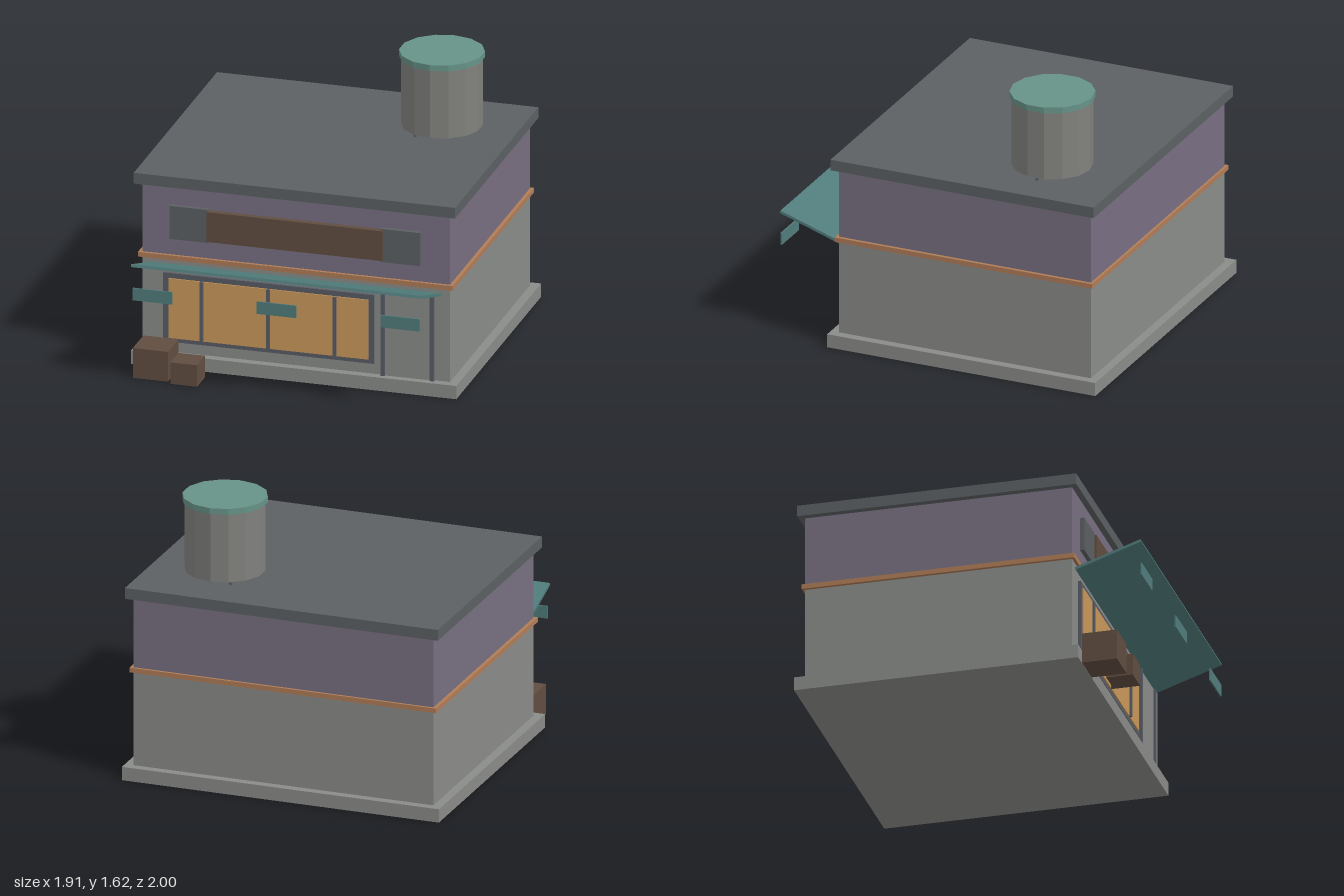
import * as THREE from 'three';

const mat = (name, color, flatShading = false) => {
  const m = new THREE.MeshStandardMaterial({ color, flatShading });
  m.name = name;
  return m;
};

export function createModel() {
  const concrete = mat('concrete', 0x8a8c89);
  const plaster = mat('purplePlaster', 0x786f81);
  const slate = mat('slate', 0x5c6063);
  const frame = mat('frameGrey', 0x595c65);
  const glow = mat('amberGlass', 0xc9995a);
  const wood = mat('brownWood', 0x604d40);
  const copper = mat('copperTrim', 0xb07c57);
  const teal = mat('awningTeal', 0x507c7b);
  const lidGreen = mat('lidGreen', 0x669287, true);
  const steel = mat('tankSteel', 0x80807d, true);

  const model = new THREE.Group();
  model.name = 'shop';

  const add = (name, geometry, material, x, y, z, parent = model) => {
    const mesh = new THREE.Mesh(geometry, material);
    mesh.name = name;
    mesh.position.set(x, y, z);
    parent.add(mesh);
    return mesh;
  };
  // Box given by its extents on each axis
  const box = (name, material, [x0, x1], [y0, y1], [z0, z1], parent) =>
    add(name, new THREE.BoxGeometry(x1 - x0, y1 - y0, z1 - z0), material,
      (x0 + x1) / 2, (y0 + y1) / 2, (z0 + z1) / 2, parent);
  const group = (name) => {
    const g = new THREE.Group();
    g.name = name;
    model.add(g);
    return g;
  };

  // Building shell, stacked from the ground up
  box('plinth', concrete, [-0.957, 0.957], [0, 0.08], [-1, 0.66]);
  box('lowerWalls', concrete, [-0.905, 0.905], [0.08, 0.65], [-0.95, 0.61]);
  box('trimBand', copper, [-0.925, 0.925], [0.64, 0.668], [-0.965, 0.628]);
  box('upperWalls', plaster, [-0.905, 0.905], [0.66, 1.09], [-0.95, 0.61]);
  box('roofSlab', slate, [-0.945, 0.945], [1.085, 1.15], [-0.985, 0.645]);

  // Shop window
  const shopWindow = group('shopWindow');
  box('windowFrame', frame, [-0.778, 0.462], [0.145, 0.56], [0.605, 0.626], shopWindow);
  box('windowGlass', glow, [-0.745, 0.43], [0.17, 0.53], [0.626, 0.633], shopWindow);
  for (const x of [-0.549, -0.157, 0.235])
    box('mullion', frame, [x - 0.01, x + 0.01], [0.17, 0.53], [0.62, 0.645], shopWindow);

  // Door with jambs
  const door = group('door');
  box('doorPanel', concrete, [0.515, 0.8], [0.08, 0.595], [0.605, 0.618], door);
  for (const x of [0.514, 0.803])
    box('doorJamb', frame, [x - 0.012, x + 0.012], [0.08, 0.595], [0.605, 0.63], door);

  // Blank fascia sign
  const sign = group('sign');
  box('signBoard', wood, [-0.518, 0.518], [0.78, 0.96], [0.605, 0.645], sign);
  for (const s of [-1, 1])
    box('signEnd', slate, [s * 0.622 - 0.115, s * 0.622 + 0.115], [0.77, 0.97], [0.605, 0.635], sign);

  // Tilted awning with hanging flaps
  const awning = group('awning');
  add('awningSheet', new THREE.BoxGeometry(1.71, 0.016, 0.405), teal, 0, 0.667, 0.806, awning)
    .rotation.x = -0.32;
  for (const x of [-0.728, 0, 0.728])
    box('awningFlap', teal, [x - 0.116, x + 0.116], [0.523, 0.597], [0.992, 1], awning);

  // Crates by the window
  box('largeCrate', wood, [-0.883, -0.677], [0, 0.18], [0.661, 0.866]);
  box('smallCrate', wood, [-0.653, -0.497], [0, 0.13], [0.74, 0.895]);

  // Rooftop water tank on three feet
  const tank = group('waterTank');
  tank.position.set(0.514, 0, -0.533);
  add('tankBody', new THREE.CylinderGeometry(0.231, 0.231, 0.41, 14), steel, 0, 1.375, 0, tank);
  add('tankLid', new THREE.CylinderGeometry(0.243, 0.243, 0.035, 14), lidGreen, 0, 1.5975, 0, tank);
  for (let i = 0; i < 3; i++) {
    const a = (i * Math.PI * 2) / 3;
    add('tankFoot', new THREE.CylinderGeometry(0.011, 0.011, 0.03, 6), frame,
      0.207 * Math.cos(a), 1.16, 0.207 * Math.sin(a), tank);
  }

  return model;
}
